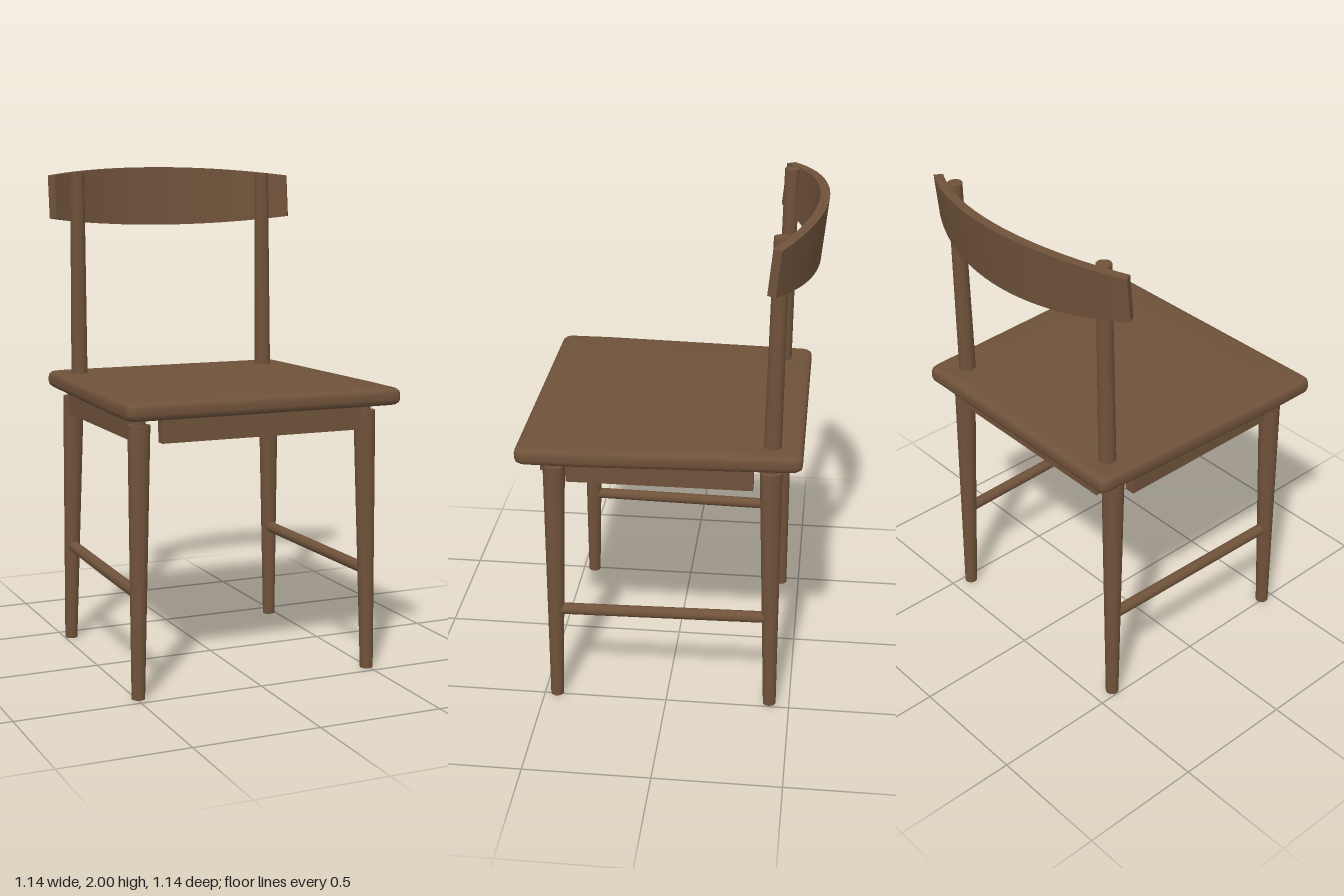
import * as THREE from 'three';

const wood = new THREE.MeshStandardMaterial({ color: 0x6f523a, roughness: 0.8 });

function add(parent, name, geometry) {
  const mesh = new THREE.Mesh(geometry, wood);
  mesh.name = name;
  parent.add(mesh);
  return mesh;
}

// Tapered round bar between two points
function rod(parent, name, from, to, r0, r1) {
  const a = new THREE.Vector3(...from), b = new THREE.Vector3(...to);
  const dir = b.clone().sub(a);
  const mesh = add(parent, name, new THREE.CylinderGeometry(r1, r0, dir.length(), 24));
  mesh.position.copy(a).add(b).multiplyScalar(0.5);
  mesh.quaternion.setFromUnitVectors(new THREE.Vector3(0, 1, 0), dir.normalize());
  return mesh;
}

function board(parent, name, size, pos) {
  add(parent, name, new THREE.BoxGeometry(...size)).position.set(...pos);
}

// Rounded outline of the seat, inset by d and narrowing to the back
function seatOutline(d) {
  const r = 0.03, hx = 0.57 - d - r, hz = 0.545 - d - r;
  const corners = [[1, 1], [-1, 1], [-1, -1], [1, -1]];
  const pts = [];
  corners.forEach(([sx, sz], i) => {
    for (let k = 0; k <= 6; k++) {
      const t = (i + k / 6) * Math.PI / 2;
      pts.push([sx * hx + r * Math.cos(t), sz * hz + r * Math.sin(t)]);
    }
    const last = pts[pts.length - 1];
    const [nx, nz] = corners[(i + 1) % 4];
    const t = (i + 1) * Math.PI / 2;
    const next = [nx * hx + r * Math.cos(t), nz * hz + r * Math.sin(t)];
    for (let k = 1; k < 20; k++) {
      pts.push([last[0] + (next[0] - last[0]) * k / 20, last[1] + (next[1] - last[1]) * k / 20]);
    }
  });
  return pts.map(([x, z]) => {
    const zz = z + 0.025;
    const w = 0.53 + 0.04 * Math.min(1, (zz + 0.52) / 0.87);
    return [x * w / 0.57, zz];
  });
}

// Seat skin: rings from the middle of the underside round the edge to the middle of the top
function seatGeometry() {
  const rings = [[0.51, 1.08], [0.03, 1.08], [0.012, 1.084], [0.003, 1.093], [0, 1.105],
    [0, 1.125], [0.003, 1.137], [0.012, 1.146], [0.03, 1.15]];
  for (let d = 0.06; d < 0.5; d += 0.03) rings.push([d, 1.15]);
  rings.push([0.51, 1.15]);
  const pos = [], idx = [];
  // gentle crown with a shallow dip round each back post
  const topY = (x, z, d) => 1.15 + 0.007 * Math.min(1, (d - 0.03) / 0.12)
    - 0.012 * Math.min(1, (d - 0.03) / 0.03) * Math.exp(-((Math.abs(x) - 0.42) ** 2 + (z + 0.4) ** 2) / 0.006);
  let n = 0;
  rings.forEach(([d, y]) => {
    const ring = seatOutline(d);
    n = ring.length;
    for (const [x, z] of ring) pos.push(x, y === 1.15 ? topY(x, z, d) : y, z);
  });
  for (let j = 0; j < rings.length - 1; j++) {
    for (let i = 0; i < n; i++) {
      const k = (i + 1) % n;
      const a = j * n + i, b = j * n + k, c = a + n, e = b + n;
      idx.push(a, c, b, b, c, e);
    }
  }
  const bottom = pos.length / 3, top = bottom + 1, lastRing = (rings.length - 1) * n;
  pos.push(0, 1.08, 0.025, 0, 1.157, 0.025);
  for (let i = 0; i < n; i++) {
    const k = (i + 1) % n;
    idx.push(bottom, i, k, top, lastRing + k, lastRing + i);
  }
  const g = new THREE.BufferGeometry();
  g.setAttribute('position', new THREE.Float32BufferAttribute(pos, 3));
  g.setIndex(idx);
  g.computeVertexNormals();
  return g;
}

// Backrest: a box bent along an arc, taller in the middle, leaning back
function backrestGeometry() {
  const g = new THREE.BoxGeometry(2, 2, 0.037, 40, 1, 1);
  const p = g.attributes.position;
  for (let i = 0; i < p.count; i++) {
    const u = p.getX(i), a = u * 0.537, r = 1.0465 - p.getZ(i);
    const y = 1.8775 + p.getY(i) * (0.1225 - 0.035 * u * u);
    p.setXYZ(i, r * Math.sin(a), y, 0.492 - r * Math.cos(a) + (2 - y) * 0.1);
  }
  g.computeVertexNormals();
  return g;
}

export function createModel() {
  const chair = new THREE.Group();
  chair.name = 'chair';

  add(chair, 'seat', seatGeometry());
  add(chair, 'backrest', backrestGeometry());

  for (const [s, side] of [[1, 'left'], [-1, 'right']]) {
    // legs with thin tenons into the seat
    rod(chair, side + 'FrontLeg', [s * 0.493, 0, 0.45], [s * 0.476, 1.05, 0.432], 0.026, 0.043);
    rod(chair, side + 'BackLeg', [s * 0.471, 0, -0.42], [s * 0.453, 1.05, -0.4], 0.026, 0.043);
    rod(chair, side + 'FrontTenon', [s * 0.476, 1.04, 0.432], [s * 0.475, 1.1, 0.431], 0.025, 0.025);
    rod(chair, side + 'BackTenon', [s * 0.453, 1.04, -0.4], [s * 0.452, 1.1, -0.399], 0.025, 0.025);
    // side stretcher, side apron and back post
    rod(chair, side + 'Stretcher', [s * 0.464, 0.405, -0.41], [s * 0.487, 0.405, 0.44], 0.023, 0.023);
    board(chair, side + 'Apron', [0.04, 0.1, 0.72], [s * 0.475, 1.035, 0.025]);
    rod(chair, side + 'BackPost', [s * 0.425, 1.1, -0.402], [s * 0.42, 1.975, -0.413], 0.034, 0.029);
  }

  board(chair, 'frontApron', [0.82, 0.1, 0.04], [0, 1.035, 0.48]);
  board(chair, 'backApron', [0.82, 0.1, 0.04], [0, 1.035, -0.425]);

  return chair;
}
